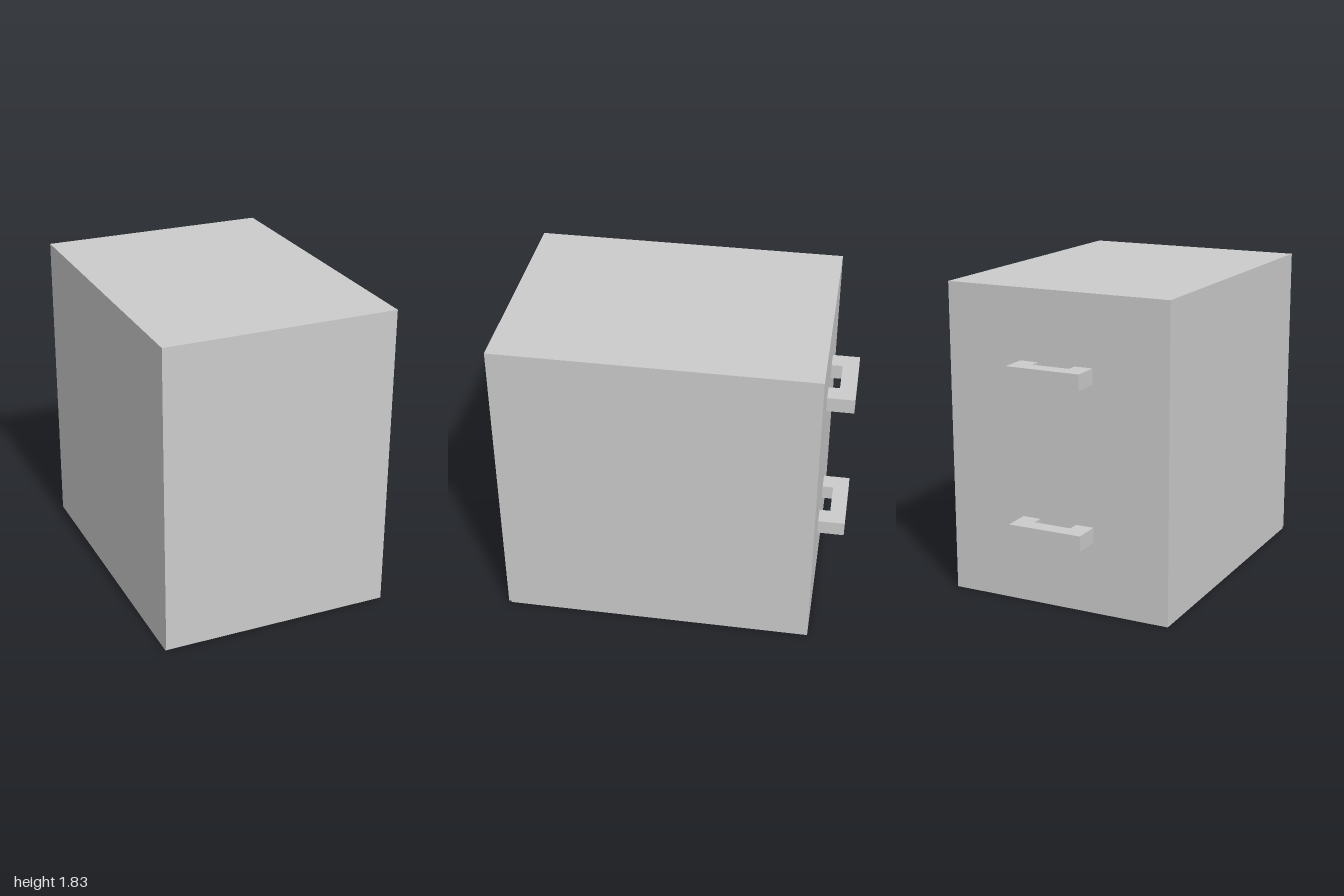
import * as THREE from 'three';

const W = 1.37, H = 1.83, BACK = -0.84, SEAM = 0.985;

export function createModel() {
  const group = new THREE.Group();
  group.name = 'cabinet';
  const material = new THREE.MeshStandardMaterial({ color: 0xcccccc });
  const add = (name, geometry, x, y, z) => {
    const mesh = new THREE.Mesh(geometry, material);
    mesh.name = name;
    mesh.position.set(x, y, z);
    group.add(mesh);
  };

  // Cabinet body, with a thin panel closing the +z end
  add('body', new THREE.BoxGeometry(W, H, SEAM - BACK), 0, H / 2, (SEAM + BACK) / 2);
  add('endPanel', new THREE.BoxGeometry(W, H - 0.01, 1 - SEAM), 0, H / 2 + 0.005, (1 + SEAM) / 2);

  // U-shaped pull: drawn in plan (shape y becomes -z) and extruded upward
  const plan = new THREE.Shape([
    [-0.225, 0.84], [-0.115, 0.84], [-0.115, 0.905], [0.115, 0.905],
    [0.115, 0.84], [0.225, 0.84], [0.225, 1], [-0.225, 1],
  ].map(([x, y]) => new THREE.Vector2(x, y)));
  const pull = new THREE.ExtrudeGeometry(plan, { depth: 0.09, bevelEnabled: false });
  pull.rotateX(-Math.PI / 2);

  // One pull for each drawer
  add('lowerHandle', pull, 0, 0.42, 0);
  add('upperHandle', pull, 0, 1.33, 0);

  return group;
}
